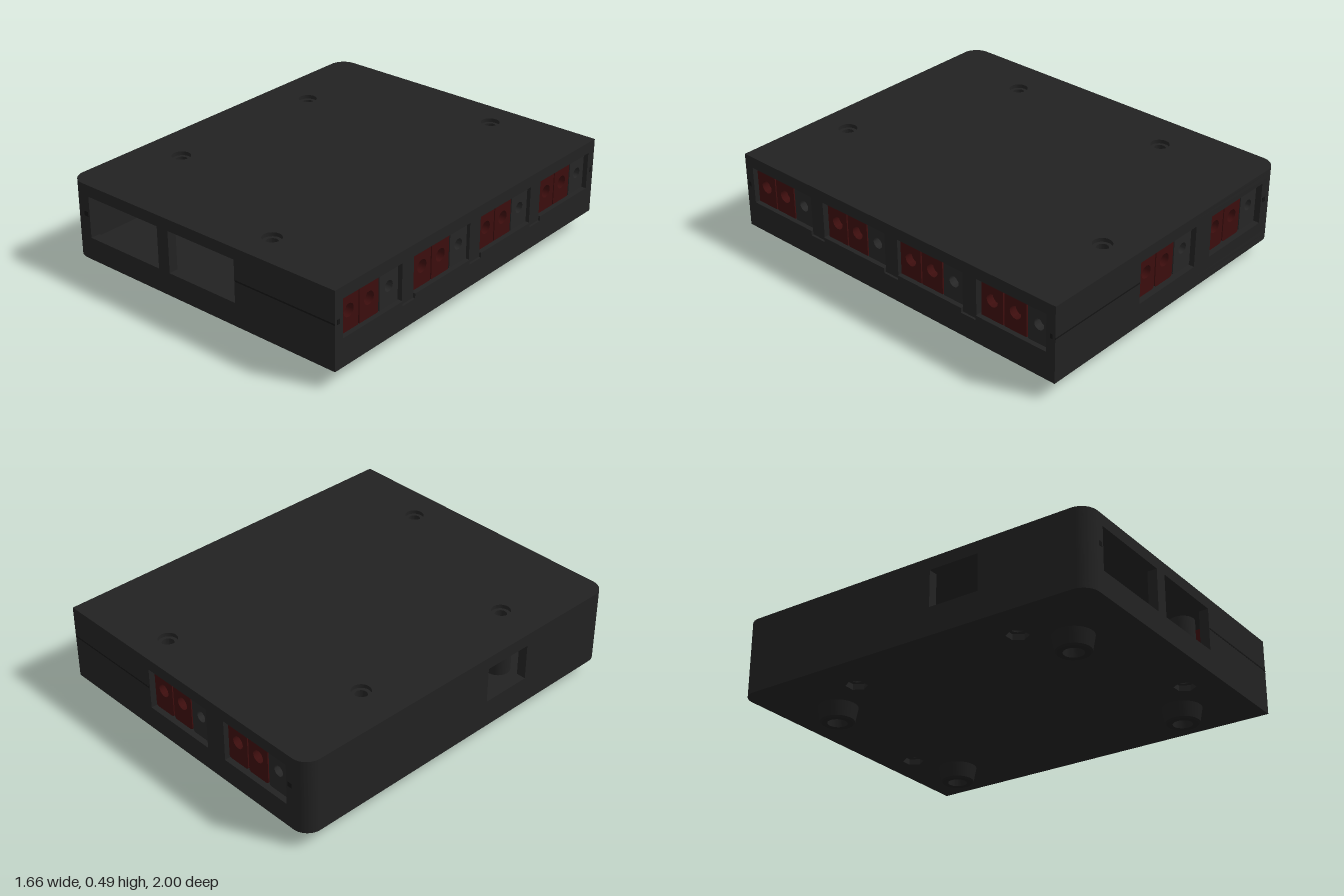
import * as THREE from 'three';
import { toCreasedNormals } from 'three/addons/utils/BufferGeometryUtils.js';

const mat = (name, color) => {
  const m = new THREE.MeshStandardMaterial({ color });
  m.name = name;
  return m;
};

export function createModel() {
  const model = new THREE.Group();
  model.name = 'connectorBox';
  const shell = mat('charcoal shell', 0x222222);
  const red = mat('dark red plastic', 0x3c0d0d);
  const grey = mat('dark grey plastic', 0x262626);
  const rubber = mat('black rubber', 0x1e1e1e);
  const shade = mat('seam black', 0x141414);

  const X = 0.83, Z = 1, R = 0.085, T = 0.05;
  const FLOOR = 0.15, CEIL = 0.44;
  const screws = [[0.31, -0.83], [-0.605, -0.455], [-0.605, 0.48], [0.31, 0.82]];

  const add = (name, geo, material, x = 0, y = 0, z = 0, parent = model) => {
    const mesh = new THREE.Mesh(geo, material);
    mesh.name = name;
    mesh.position.set(x, y, z);
    parent.add(mesh);
    return mesh;
  };
  const box = (name, m, x0, x1, y0, y1, z0, z1) =>
    add(name, new THREE.BoxGeometry(x1 - x0, y1 - y0, z1 - z0), m,
      (x0 + x1) / 2, (y0 + y1) / 2, (z0 + z1) / 2);
  const extrude = (shape, depth) => toCreasedNormals(
    new THREE.ExtrudeGeometry(shape, { depth, bevelEnabled: false, curveSegments: 12 }), 0.6);
  const poly = (pts, C = THREE.Shape) => new C(pts.map(([x, y]) => new THREE.Vector2(x, y)));
  const rect = (x0, x1, y0, y1, C) => poly([[x0, y0], [x1, y0], [x1, y1], [x0, y1]], C);
  const ring = (x, y, r, n = 28) => poly(Array.from({ length: n }, (_, i) => {
    const a = (i / n) * Math.PI * 2;
    return [x + r * Math.cos(a), y + r * Math.sin(a)];
  }), THREE.Path);

  // Horizontal plates, rounded on the right-hand side only, with screw holes
  const plate = (name, y0, y1, holeR, sides) => {
    const s = new THREE.Shape();
    s.moveTo(X, -Z);
    s.lineTo(X, Z);
    s.lineTo(-X + R, Z);
    s.absarc(-X + R, Z - R, R, Math.PI / 2, Math.PI, false);
    s.lineTo(-X, -Z + R);
    s.absarc(-X + R, -Z + R, R, Math.PI, Math.PI * 1.5, false);
    s.holes = screws.map(([x, z]) => ring(x, z, holeR, sides));
    add(name, extrude(s, y1 - y0).rotateX(Math.PI / 2), shell, 0, y1);
  };
  plate('lidTop', 0.47, 0.49, 0.048);
  plate('lidUnderside', CEIL, 0.47, 0.03);
  plate('floorInside', 0.12, FLOOR, 0.03);
  plate('floorBottom', 0.09, 0.12, 0.055, 6);

  // Hollow screw posts
  for (const [x, z] of screws) {
    const s = new THREE.Shape().absarc(0, 0, 0.065, 0, Math.PI * 2);
    s.holes = [ring(0, 0, 0.03)];
    add('screwPost', extrude(s, CEIL - FLOOR).rotateX(Math.PI / 2), shell, x, CEIL, z);
  }

  // Front and back walls, each with two windows and a small latch hole
  for (const [name, z] of [['frontWall', Z - T], ['backWall', -Z]]) {
    const s = rect(-X + R, X, FLOOR, CEIL);
    const split = name === 'frontWall' ? -0.24 : -0.29;
    s.holes = [rect(-0.705, split, 0.21, 0.43, THREE.Path),
      rect(-0.17, 0.245, 0.21, 0.43, THREE.Path)];
    add(name, extrude(s, T), shell, 0, 0, z);
    const face = z > 0 ? Z : -Z;
    box('seam', shade, 0.25, X, 0.321, 0.329, face - 0.001, face + 0.001);
    box('latchNotch', shade, -0.74, -0.715, 0.32, 0.345, face - 0.001, face + 0.001);
  }

  // Left wall: one long opening, notched for the lid tabs
  const tabs = [[-0.54, -0.45], [-0.05, 0.04], [0.45, 0.54]];
  const opening = [[-0.95, 0.235]];
  for (const [a, b] of tabs) opening.push([a, 0.235], [a, 0.21], [b, 0.21], [b, 0.235]);
  opening.push([0.95, 0.235], [0.95, 0.43], [-0.95, 0.43]);
  const left = rect(-Z + T, Z - T + 0.0001, FLOOR, CEIL);
  left.holes = [poly(opening.map(([z, y]) => [z * 0.9985, y]), THREE.Path)];
  add('leftWall', extrude(left, T).rotateY(-Math.PI / 2), shell, X);
  for (const [a, b] of tabs) box('lidTab', shell, X - T, X - 0.008, 0.214, CEIL, a + 0.004, b - 0.004);
  for (const s of [-1, 1])
    box('seamNotch', shade, X - 0.001, X + 0.001, 0.318, 0.343, s * 0.978 - 0.008, s * 0.978 + 0.008);

  // Right wall with a small port, and its rounded corners
  const right = rect(-Z + R, Z - R, FLOOR, CEIL);
  right.holes = [rect(0.15, 0.42, 0.235, 0.425, THREE.Path)];
  add('rightWall', extrude(right, T).rotateY(-Math.PI / 2), shell, -X + T);
  for (const s of [-1, 1]) {
    const a = s > 0 ? Math.PI / 2 : Math.PI;
    const c = new THREE.Shape();
    c.absarc(-X + R, s * (Z - R), R, a, a + Math.PI / 2, false);
    c.absarc(-X + R, s * (Z - R), R - T, a + Math.PI / 2, a, true);
    add('roundedCorner', extrude(c, CEIL - FLOOR).rotateX(Math.PI / 2), shell, 0, CEIL);
  }

  // A plug housing facing +z with a round socket
  const W = 0.128, Y0 = 0.217, Y1 = 0.426, L = 0.4, r = 0.014;
  const socketGeo = (holeR) => {
    const s = new THREE.Shape(), w = W / 2;
    s.absarc(w - r, Y0 + r, r, -Math.PI / 2, 0);
    s.absarc(w - r, Y1 - r, r, 0, Math.PI / 2);
    s.absarc(-w + r, Y1 - r, r, Math.PI / 2, Math.PI);
    s.absarc(-w + r, Y0 + r, r, Math.PI, Math.PI * 1.5);
    s.holes = [ring(0, 0.335, holeR)];
    return extrude(s, L).translate(0, 0, -L);
  };
  const redGeo = socketGeo(0.033), greyGeo = socketGeo(0.028);

  // Two red housings and one grey one, side by side
  const connector = (x, z, turn) => {
    const g = new THREE.Group();
    g.name = 'connectorGroup';
    g.position.set(x, 0, z);
    g.rotation.y = turn;
    [-1, 0, 1].forEach((i) => {
      const isGrey = i === 1, m = isGrey ? grey : red;
      add(isGrey ? 'greyHousing' : 'redHousing', isGrey ? greyGeo : redGeo, m, i * 0.136, 0, 0, g);
      const plug = new THREE.CylinderGeometry(0.034, 0.034, 0.02, 24).rotateX(Math.PI / 2);
      add('socketContact', plug, m, i * 0.136, 0.335, -0.05, g);
    });
    model.add(g);
  };
  for (const z of [0.745, 0.237, -0.25, -0.752]) connector(X - 0.025, z, Math.PI / 2);
  for (const x of [0.035, -0.493]) connector(x, -Z + 0.025, Math.PI);

  // Hollow tapered feet
  const profile = [[0, 0.06], [0.05, 0.06], [0.05, 0], [0.078, 0], [0.086, 0.008],
    [0.1, 0.084], [0.04, 0.084], [0.04, 0.1], [0, 0.1]].map(([x, y]) => new THREE.Vector2(x, y));
  const footGeo = toCreasedNormals(new THREE.LatheGeometry(profile, 36), 0.5);
  for (const x of [-0.467, 0.515])
    for (const z of [-0.688, 0.688]) add('foot', footGeo, rubber, x, 0, z);

  return model;
}
